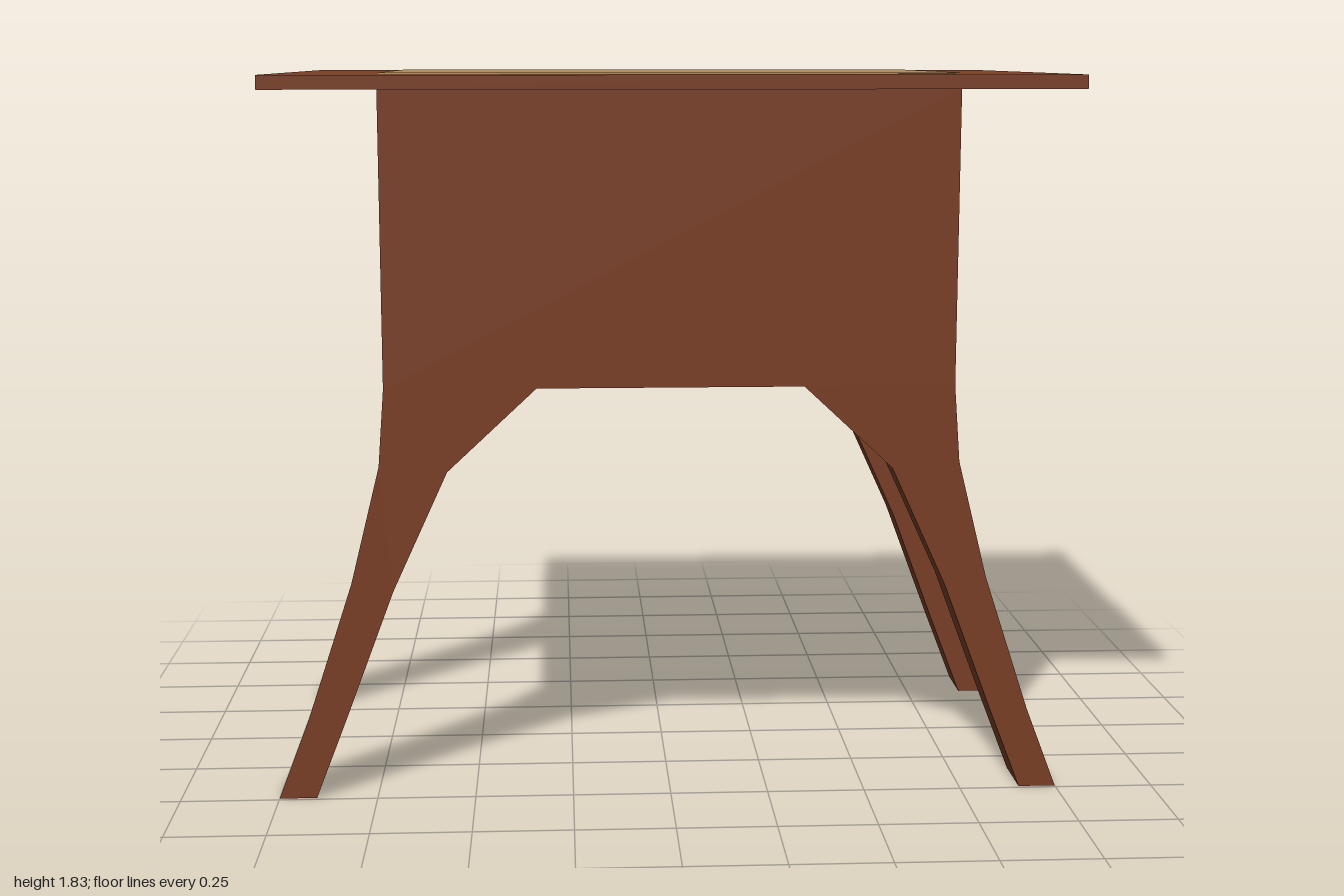
import * as THREE from 'three';

export function createModel() {
  const brown = new THREE.MeshStandardMaterial({ color: 0x7a3f26 });
  brown.name = 'brown wood';
  const tan = new THREE.MeshStandardMaterial({ color: 0xb58b55 });
  tan.name = 'tan wood';
  const green = new THREE.MeshStandardMaterial({ color: 0x58a865 });
  green.name = 'green knob';

  const table = new THREE.Group();
  table.name = 'sideTable';

  const add = (name, geometry, material, x, y, z) => {
    const mesh = new THREE.Mesh(geometry, material);
    mesh.name = name;
    mesh.position.set(x, y, z);
    table.add(mesh);
    return mesh;
  };

  // Cabinet and overhanging top
  add('cabinet', new THREE.BoxGeometry(1.43, 0.74, 0.98), brown, 0, 1.425, 0);
  add('tableTop', new THREE.BoxGeometry(1.954, 0.034, 1.394), brown, 0, 1.811, 0);

  // Thin rounded inlay on the top
  const w = 0.715, d = 0.49, r = 0.035;
  const inlay = new THREE.Shape();
  inlay.absarc(w - r, d - r, r, 0, Math.PI / 2);
  inlay.absarc(-w + r, d - r, r, Math.PI / 2, Math.PI);
  inlay.absarc(-w + r, -d + r, r, Math.PI, Math.PI * 1.5);
  inlay.absarc(w - r, -d + r, r, Math.PI * 1.5, Math.PI * 2);
  const inlayGeometry = new THREE.ExtrudeGeometry(inlay, { depth: 0.003, bevelEnabled: false, curveSegments: 6 });
  inlayGeometry.rotateX(-Math.PI / 2);
  add('topInlay', inlayGeometry, tan, 0, 1.828, 0);

  // Splayed legs: one profile, mirrored to the other side
  const profile = [
    [0.335, 1.055], [0.56, 0.845], [0.70, 0.54], [0.82, 0.22], [0.905, 0],
    [1.0, 0], [0.92, 0.21], [0.805, 0.56], [0.73, 0.86], [0.715, 1.055],
  ];
  for (const side of [-1, 1]) {
    const shape = new THREE.Shape(profile.map(([x, y]) => new THREE.Vector2(side * x, y)));
    const leg = new THREE.ExtrudeGeometry(shape, { depth: 0.145, bevelEnabled: false });
    const label = side > 0 ? 'left' : 'right';
    add(label + 'FrontLeg', leg, brown, 0, 0, 0.345);
    add(label + 'BackLeg', leg, brown, 0, 0, -0.49);
  }

  // Drawer panel and round knob
  add('drawerFront', new THREE.BoxGeometry(1.37, 0.43, 0.055), tan, 0, 1.295, -0.5125);
  add('drawerKnob', new THREE.SphereGeometry(0.064, 32, 20), green, 0, 1.412, -0.556);

  return table;
}
